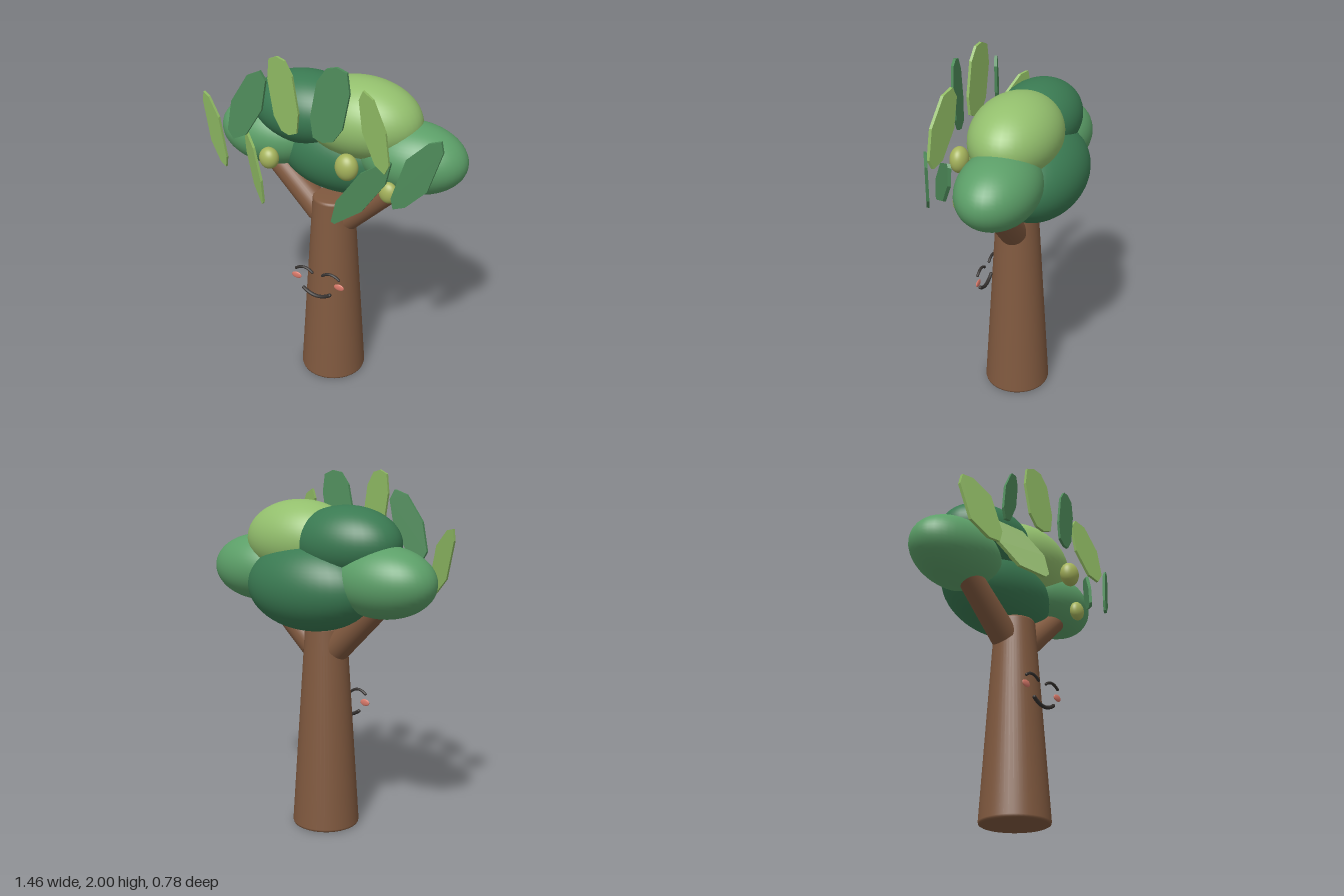
import * as THREE from 'three';

const V = (x, y, z) => new THREE.Vector3(x, y, z);
const mat = (color, extra = {}) => new THREE.MeshStandardMaterial({ color, ...extra });

export function createModel() {
  const tree = new THREE.Group();
  tree.name = 'tree';

  const bark = mat(0x80593f);
  const darkGreen = mat(0x3a7a52), midGreen = mat(0x5c9f68), lightGreen = mat(0x93bf6d);
  const leafDark = mat(0x4f8d5b, { flatShading: true }), leafLight = mat(0x8fba63, { flatShading: true });
  const fruitMat = mat(0xa5b35c), ink = mat(0x35312f), blush = mat(0xd9796a);

  const add = (name, geometry, material, position) => {
    const mesh = new THREE.Mesh(geometry, material);
    mesh.name = name;
    if (position) mesh.position.copy(position);
    tree.add(mesh);
    return mesh;
  };
  const ellipsoid = (name, material, [x, y, z], [rx, ry, rz]) =>
    add(name, new THREE.SphereGeometry(1, 40, 28), material, V(x, y, z)).scale.set(rx, ry, rz);

  // Tapered trunk with softened rims
  const trunkProfile = [[0, 0], [0.178, 0], [0.187, 0.005], [0.19, 0.016], [0.117, 1.14], [0.113, 1.152], [0.104, 1.157], [0, 1.157]];
  add('trunk', new THREE.LatheGeometry(trunkProfile.map(p => new THREE.Vector2(...p)), 48), bark, V(0, 0, -0.01));

  // Two branches reaching into the canopy
  for (const s of [-1, 1]) {
    const from = V(s * 0.083, 1.04, -0.015), to = V(s * 0.42, 1.345, -0.032);
    const dir = to.clone().sub(from);
    const branch = add(s < 0 ? 'rightBranch' : 'leftBranch',
      new THREE.CylinderGeometry(0.068, 0.08, dir.length(), 32), bark, from.clone().add(to).multiplyScalar(0.5));
    branch.quaternion.setFromUnitVectors(V(0, 1, 0), dir.normalize());
  }

  // Canopy of overlapping ellipsoids
  ellipsoid('canopyBack', darkGreen, [0, 1.385, -0.142], [0.4, 0.24, 0.252]);
  ellipsoid('canopyRight', midGreen, [-0.43, 1.435, -0.078], [0.306, 0.19, 0.208]);
  ellipsoid('canopyLeft', midGreen, [0.425, 1.46, -0.075], [0.304, 0.189, 0.208]);
  ellipsoid('canopyTopRight', darkGreen, [-0.19, 1.62, -0.068], [0.322, 0.2, 0.225]);
  ellipsoid('canopyTopLeft', lightGreen, [0.137, 1.63, -0.058], [0.34, 0.215, 0.235]);

  // Thin upright leaves: half an outline, completed by point symmetry,
  // then sheared in z so each plate turns about the vertical
  function leaf(side, material, { at: [x, y, z], slope, half }) {
    const outline = [...half, ...half.map(([a, b]) => [-a, -b])]
      .map(([a, b]) => new THREE.Vector2(side * a, b));
    const depth = 0.015 * Math.hypot(1, slope);
    const geometry = new THREE.ExtrudeGeometry(new THREE.Shape(outline), { depth, bevelEnabled: false });
    const pos = geometry.attributes.position;
    for (let i = 0; i < pos.count; i++) {
      pos.setZ(i, pos.getZ(i) - depth / 2 + side * slope * pos.getX(i));
    }
    geometry.computeVertexNormals();
    add('leaf', geometry, material, V(side * x, y, z));
  }
  const leaves = [
    { at: [0.588, 1.522, 0.235], slope: -0.52, half: [[0.095, 0.18], [0.106, 0.12], [0.048, -0.085], [-0.042, -0.17]] },
    { at: [0.364, 1.705, 0.252], slope: 0.34, half: [[-0.074, 0.191], [-0.1, 0.138], [-0.074, -0.021], [0.011, -0.164]] },
    { at: [0.132, 1.803, 0.268], slope: -0.19, half: [[0.035, 0.197], [0.085, 0.175], [0.098, 0.07], [0.063, -0.117], [0.016, -0.186]] },
    { at: [0.315, 1.385, 0.283], slope: -0.84, half: [[0.1, 0.16], [0.114, 0.143], [0.095, 0.032], [0.005, -0.106]] },
  ];
  leaves.forEach((spec, i) => {
    const lightOnLeft = i === 1;
    leaf(1, lightOnLeft ? leafLight : leafDark, spec);
    leaf(-1, lightOnLeft ? leafDark : leafLight, spec);
  });

  // Small fruits
  ellipsoid('fruit', fruitMat, [0.207, 1.478, 0.235], [0.062, 0.072, 0.051]);
  ellipsoid('fruit', fruitMat, [-0.265, 1.415, 0.217], [0.055, 0.06, 0.047]);
  ellipsoid('fruit', fruitMat, [0.4, 1.343, 0.147], [0.051, 0.058, 0.037]);

  // Face: closed eyes, smile and cheeks just in front of the trunk
  const stroke = (name, points, radius) => {
    const curve = new THREE.QuadraticBezierCurve3(...points);
    add(name, new THREE.TubeGeometry(curve, 24, radius, 10), ink);
    for (const end of [points[0], points[2]]) add(name + 'End', new THREE.SphereGeometry(radius, 10, 8), ink, end);
  };
  for (const s of [-1, 1]) {
    const x = s * 0.085;
    stroke('eye', [V(x - 0.052, 0.742, 0.18), V(x, 0.784, 0.18), V(x + 0.052, 0.742, 0.18)], 0.008);
    ellipsoid('cheek', blush, [s * 0.136, 0.693, 0.177], [0.031, 0.02, 0.007]);
  }
  stroke('smile', [V(-0.083, 0.63, 0.189), V(0, 0.57, 0.189), V(0.083, 0.63, 0.189)], 0.0105);

  return tree;
}
